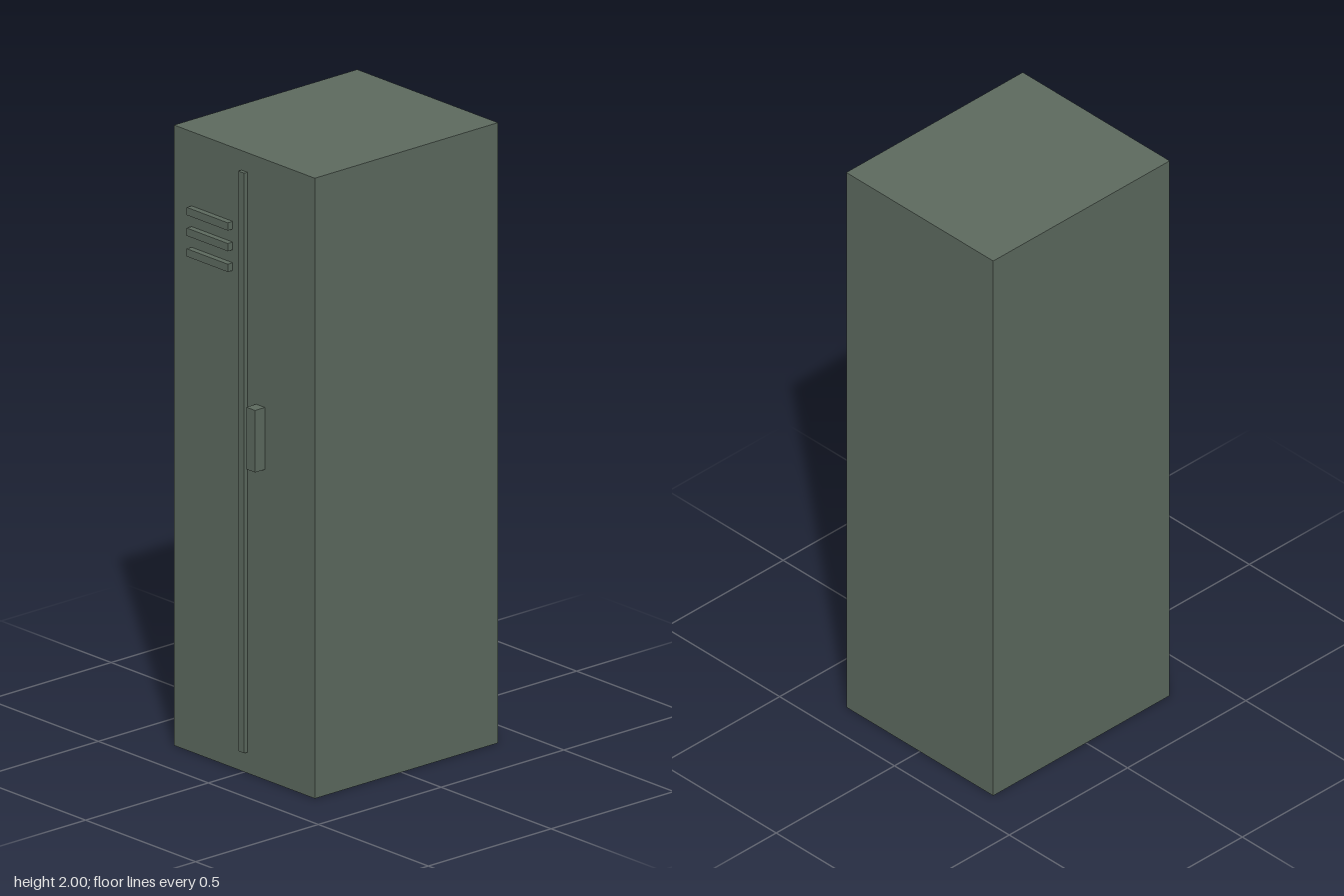
import * as THREE from 'three';

export function createModel() {
  const model = new THREE.Group();
  model.name = 'locker';
  const paint = new THREE.MeshStandardMaterial({ color: 0x5d6a5f });
  paint.name = 'greyGreenPaint';

  const front = 0.353; // z of the front face

  // Box given by its lower and upper limits on each axis
  function box(name, [x0, x1], [y0, y1], [z0, z1]) {
    const mesh = new THREE.Mesh(new THREE.BoxGeometry(x1 - x0, y1 - y0, z1 - z0), paint);
    mesh.position.set((x0 + x1) / 2, (y0 + y1) / 2, (z0 + z1) / 2);
    mesh.name = name;
    model.add(mesh);
  }

  // Cabinet, door seam strip and handle
  box('cabinet', [-0.32, 0.32], [0, 2], [-0.393, front]);
  box('doorSeam', [-0.0133, 0.0133], [0.067, 1.937], [front - 0.01, 0.366]);
  box('handle', [0.053, 0.093], [1.0, 1.2], [front - 0.01, 0.393]);

  // Three vent slats on the right door
  for (let i = 0; i < 3; i++) {
    const y = 1.615 + i * 0.0667;
    box(`ventSlat${i + 1}`, [-0.24, -0.0533], [y - 0.0125, y + 0.0125], [front - 0.01, 0.373]);
  }
  return model;
}
